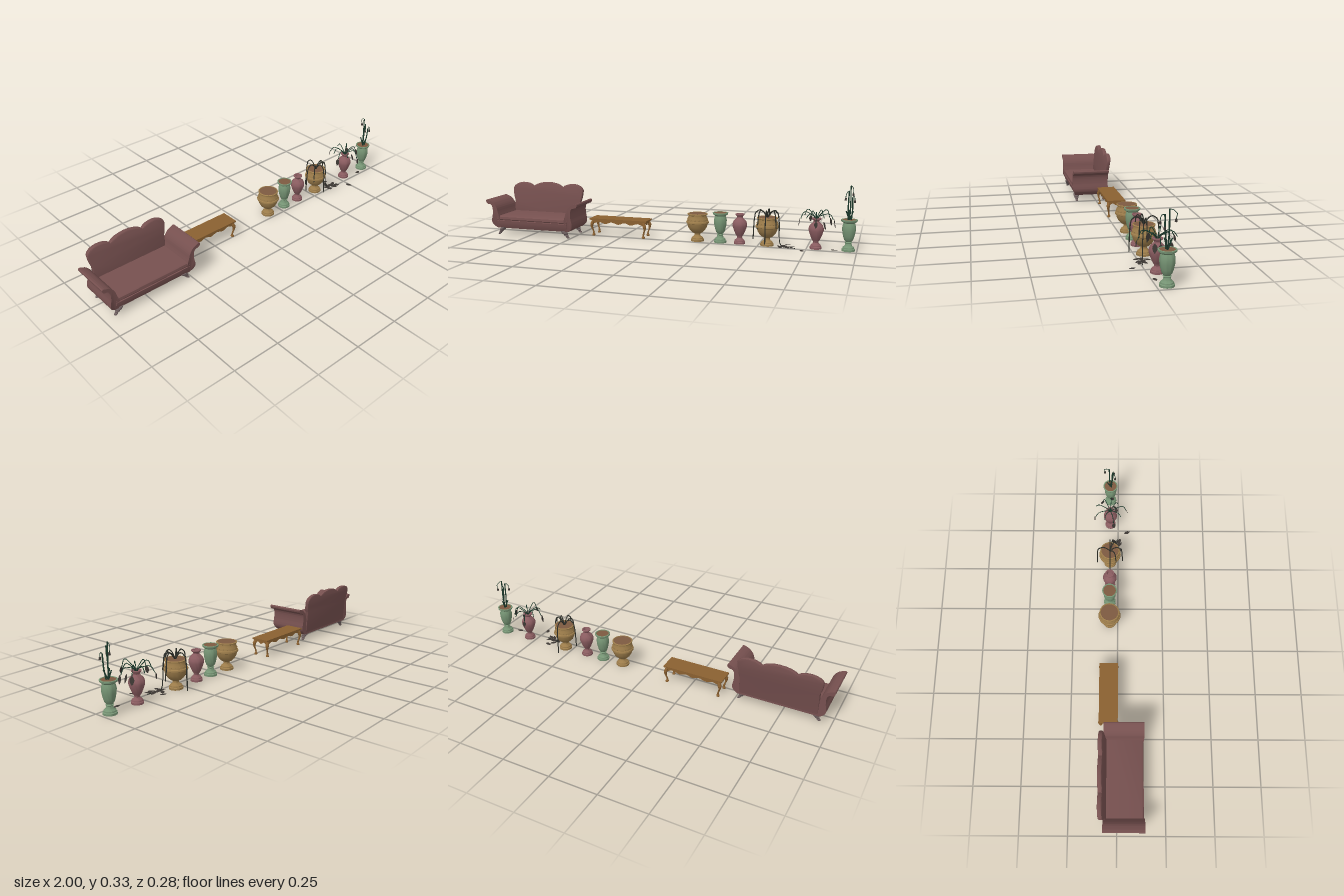
import * as THREE from 'three';
import { toCreasedNormals } from 'three/addons/utils/BufferGeometryUtils.js';

const mat = (color) => new THREE.MeshStandardMaterial({ color, side: THREE.DoubleSide });
const M = {
  cloth: mat(0x76504f), foot: mat(0x6e5f5f), wood: mat(0x8a6030), tan: mat(0x9c7c4a),
  green: mat(0x769474), pink: mat(0x8a5c60), soil: mat(0x7d5a40), stem: mat(0x1c3a2c),
  dry: mat(0x2e302a), leaf: mat(0x3c3733),
};
const V = (x, y, z) => new THREE.Vector3(x, y, z);
const pts = (a) => a.map(([x, y]) => new THREE.Vector2(x, y));

function add(parent, name, geo, material, x = 0, y = 0, z = 0) {
  const m = new THREE.Mesh(geo, material);
  m.name = name;
  m.position.set(x, y, z);
  parent.add(m);
  return m;
}
// move every vertex by a rule
function warp(geo, rule) {
  const p = geo.attributes.position, v = V(0, 0, 0);
  for (let i = 0; i < p.count; i++) {
    v.fromBufferAttribute(p, i);
    rule(v);
    p.setXYZ(i, v.x, v.y, v.z);
  }
  geo.computeVertexNormals();
  return geo;
}
const lathe = (profile, n = 24) => toCreasedNormals(new THREE.LatheGeometry(pts(profile), n), 0.7);
const extrude = (shape, depth, bevel = 0, steps = 1) => new THREE.ExtrudeGeometry(shape, {
  depth, steps, curveSegments: 8, bevelEnabled: bevel > 0, bevelSize: bevel, bevelThickness: bevel, bevelSegments: 2,
});

function sofa() {
  const g = new THREE.Group();
  g.name = 'sofa';
  // seat body: side profile run across the width
  const side = new THREE.Shape(pts([[-0.07, 0.037], [0.122, 0.037], [0.137, 0.07], [0.137, 0.08],
    [0.132, 0.082], [0.136, 0.088], [0.134, 0.101], [0.125, 0.107], [-0.06, 0.107], [-0.07, 0.1]]));
  const body = extrude(side, 0.42);
  body.rotateY(-Math.PI / 2).translate(0.21, 0, 0);
  // profile x became z after the turn
  add(g, 'seat', toCreasedNormals(body, 0.6), M.cloth);

  // three-humped leaning back
  const s = new THREE.Shape();
  s.moveTo(-0.2, 0.05);
  s.lineTo(-0.2, 0.17);
  s.quadraticCurveTo(-0.213, 0.2, -0.213, 0.235);
  s.bezierCurveTo(-0.205, 0.268, -0.125, 0.278, -0.09, 0.243);
  s.bezierCurveTo(-0.055, 0.28, 0.055, 0.28, 0.09, 0.243);
  s.bezierCurveTo(0.125, 0.278, 0.205, 0.268, 0.213, 0.235);
  s.quadraticCurveTo(0.213, 0.2, 0.2, 0.17);
  s.lineTo(0.2, 0.05);
  const back = warp(extrude(s, 0.012, 0.005), (v) => { v.z += -0.066 - Math.max(0, v.y - 0.1) * 0.15; });
  add(g, 'backrest', toCreasedNormals(back, 0.7), M.cloth);

  // flared arms with rolled tops
  const arm = new THREE.Shape();
  arm.moveTo(0.195, 0.037);
  arm.lineTo(0.215, 0.037);
  arm.splineThru(pts([[0.236, 0.055], [0.243, 0.078], [0.236, 0.115], [0.236, 0.15], [0.246, 0.168],
    [0.266, 0.173], [0.275, 0.185], [0.271, 0.195], [0.257, 0.192], [0.233, 0.18], [0.213, 0.155], [0.204, 0.125], [0.195, 0.1]]));
  for (const sx of [-1, 1]) {
    const geo = warp(extrude(arm, 0.21), (v) => {
      v.z -= 0.07;
      if (v.z > 0.1 && v.y < 0.075) v.z -= (0.075 - v.y) * 0.4;
    });
    const m = add(g, 'arm', toCreasedNormals(geo, 0.6), M.cloth);
    m.scale.x = sx;
    // turned feet, splayed outward
    for (const z of [0.115, -0.05]) {
      const foot = lathe([[0, 0], [0.006, 0], [0.009, 0.006], [0.007, 0.011], [0.012, 0.016],
        [0.011, 0.021], [0.016, 0.028], [0.016, 0.042], [0, 0.042]], 14);
      warp(foot, (v) => { v.x += sx * (0.212 - v.y * 0.75); });
      add(g, 'foot', foot, M.foot, 0, 0, z);
    }
  }
  g.position.x = -0.725;
  return g;
}

function table() {
  const g = new THREE.Group();
  g.name = 'table';
  add(g, 'tableTop', new THREE.BoxGeometry(0.33, 0.007, 0.1), M.wood, 0, 0.093, 0);
  add(g, 'topMoulding', new THREE.BoxGeometry(0.322, 0.004, 0.092), M.wood, 0, 0.0875, 0);
  // scalloped aprons
  const apron = (len, waves) => {
    const s = new THREE.Shape();
    s.moveTo(len / 2, 0.086);
    s.lineTo(-len / 2, 0.086);
    for (let i = 0; i <= 40; i++) {
      const t = i / 40;
      s.lineTo((t - 0.5) * len, 0.073 - 0.005 * Math.cos(t * waves * 2 * Math.PI));
    }
    return extrude(s, 0.004).translate(0, 0, -0.002);
  };
  for (const k of [-1, 1]) {
    add(g, 'longApron', apron(0.3, 4), M.wood, 0, 0, k * 0.042);
    add(g, 'endApron', apron(0.08, 2), M.wood, k * 0.152, 0, 0).rotation.y = Math.PI / 2;
    // cabriole legs
    for (const kz of [-1, 1]) {
      const leg = lathe([[0, 0], [0.008, 0], [0.009, 0.005], [0.006, 0.01], [0.004, 0.016], [0.0055, 0.02],
        [0.004, 0.025], [0.005, 0.04], [0.007, 0.052], [0.01, 0.065], [0.009, 0.078], [0.007, 0.087]], 12);
      warp(leg, (v) => {
        const o = 0.005 * Math.sin((v.y / 0.087) * Math.PI * 2 - 2.4);
        v.x += k * (o + 0.15);
        v.z += kz * (o * 0.5 + 0.042);
      });
      add(g, 'leg', leg, M.wood);
    }
  }
  g.position.set(-0.27, 0, -0.047);
  return g;
}

// vase profiles, foot to rim
const foot = (r) => [[0, 0], [r, 0], [r, 0.01], [r * 0.88, 0.013], [r * 0.85, 0.019], [r * 0.55, 0.027]];
const PROFILES = {
  tan: [...foot(0.035), [0.015, 0.034], [0.016, 0.042], [0.027, 0.047], [0.041, 0.06], [0.051, 0.078], [0.056, 0.096],
    [0.06, 0.098], [0.061, 0.103], [0.059, 0.108], [0.055, 0.11], [0.053, 0.125], [0.046, 0.136], [0.046, 0.139],
    [0.053, 0.142], [0.054, 0.148], [0.048, 0.15], [0.046, 0.144]],
  green: [...foot(0.033), [0.015, 0.04], [0.019, 0.044], [0.015, 0.048], [0.022, 0.056], [0.028, 0.075], [0.033, 0.1],
    [0.034, 0.12], [0.031, 0.134], [0.028, 0.143], [0.032, 0.146], [0.04, 0.152], [0.041, 0.16], [0.035, 0.161], [0.033, 0.155]],
  pink: [...foot(0.03), [0.013, 0.033], [0.014, 0.039], [0.02, 0.047], [0.03, 0.07], [0.038, 0.095], [0.038, 0.108],
    [0.032, 0.123], [0.02, 0.134], [0.015, 0.141], [0.016, 0.147], [0.024, 0.154], [0.024, 0.159], [0.017, 0.16], [0.012, 0.145], [0, 0.145]],
};
const SOIL = { tan: [0.047, 0.147], green: [0.035, 0.158] };

function vase(kind, x) {
  const g = new THREE.Group();
  g.name = kind + 'Vase';
  add(g, 'vaseBody', lathe(PROFILES[kind], 28), M[kind]);
  if (SOIL[kind]) {
    const [r, y] = SOIL[kind];
    add(g, 'soil', new THREE.CylinderGeometry(r, r, 0.002, 24), M.soil, 0, y, 0);
  }
  if (kind === 'tan') for (let i = 0; i < 16; i++) { // studs round the shoulder
    const a = (i / 16) * Math.PI * 2;
    add(g, 'stud', new THREE.SphereGeometry(0.003, 6, 4), M.tan, Math.cos(a) * 0.054, 0.118, Math.sin(a) * 0.054);
  }
  g.position.set(x, 0, -0.045);
  return g;
}

function stem(g, path, r, material = M.stem) {
  const c = new THREE.CatmullRomCurve3(path.map((p) => V(...p)), false, 'catmullrom', 0.2);
  add(g, 'stem', new THREE.TubeGeometry(c, path.length * 4, r, 5), material);
}
// cupped pointed leaf growing along +x
function leaf(g, x, y, z, len, turn, droop = 0) {
  const s = new THREE.Shape();
  s.moveTo(0, 0);
  s.quadraticCurveTo(len * 0.4, len * 0.5, len, 0);
  s.quadraticCurveTo(len * 0.4, -len * 0.5, 0, 0);
  const geo = new THREE.ShapeGeometry(s, 6).rotateX(-Math.PI / 2);
  warp(geo, (v) => { v.y += Math.abs(v.z) * 0.3 + ((v.x / len - 0.5) ** 2) * len * 0.3; });
  const m = add(g, 'leaf', geo, M.leaf, x, y, z);
  m.rotation.set(0, turn, -droop, 'YXZ');
}

export function createModel() {
  const root = new THREE.Group();
  root.add(sofa(), table());
  const row = [['tan', 0.17], ['green', 0.295], ['pink', 0.4], ['tan', 0.545], ['pink', 0.795], ['green', 0.957]];
  const vases = row.map(([k, x]) => vase(k, x));
  root.add(...vases);

  // trailing plant: [angle, reach, lowest point]
  const trail = vases[3];
  for (const [a, r, low] of [[0, 0.062, 0.08], [0.6, 0.06, 0.1], [1.57, 0.068, 0.02], [2.5, 0.055, 0.09], [3.14, 0.07, 0.03], [4.71, 0.072, 0.005]]) {
    const c = Math.cos(a), s = Math.sin(a);
    stem(trail, [[0, 0.145, 0], [c * 0.02, 0.177, s * 0.02], [c * 0.04, 0.188, s * 0.04], [c * r * 0.9, 0.17, s * r * 0.9],
      [c * r, 0.12, s * r], [c * (r + 0.003), low, s * (r + 0.003)]], 0.003, M.dry);
  }
  stem(trail, [[0, 0.145, 0], [0.03, 0.187, 0.01], [0.058, 0.17, 0.015], [0.064, 0.1, 0.02], [0.068, 0.03, 0.022],
    [0.08, 0.005, 0.025], [0.11, 0.004, 0.035], [0.15, 0.003, 0.04]], 0.0025, M.dry);
  for (const [x, z, t] of [[0.075, 0.02, 0.9], [0.08, 0.03, 0.2], [0.1, 0.035, -0.9], [0.11, 0.035, 0.5], [0.07, 0.03, -1.3], [0.09, 0.04, 2.6]])
    leaf(trail, x, 0.003, z, 0.042, t);

  // spreading plant with drooping tips
  const spread = vases[4];
  [0.085, 0.06, 0.09, 0.075, 0.08, 0.07, 0.09, 0.085, 0.075].forEach((r, i) => {
    const a = i * 0.7 + 0.1, c = Math.cos(a), s = Math.sin(a), top = 0.185 + (i % 3) * 0.007;
    stem(spread, [[0, 0.145, 0], [c * 0.015, 0.17, s * 0.015], [c * r * 0.65, top, s * r * 0.65],
      [c * r * 0.85, top - 0.006, s * r * 0.85], [c * r, 0.155 + (i % 2) * 0.012, s * r]], 0.002);
    if (i % 2 === 0) leaf(spread, c * r, 0.157, s * r, i % 4 ? 0.035 : 0.045, -a, 1.4);
  });
  leaf(spread, 0.035, 0.145, 0.02, 0.045, -0.3, 1.3);
  for (const [x, z, t] of [[-0.125, -0.015, 2.8], [-0.1, 0.06, 2.6], [-0.065, 0.08, -1.2], [0.075, 0.035, 0.1]])
    leaf(spread, x, 0.003, z, 0.038, t);

  // tall plant with nodding buds: each path ends at its bud
  const tall = vases[5];
  const stalks = [
    [[0, 0.15, -0.003], [0.003, 0.24, -0.005], [0, 0.33, -0.006], [0.006, 0.326, -0.022], [0.012, 0.312, -0.035], [0.012, 0.29, -0.03]],
    [[-0.005, 0.15, 0.005], [-0.008, 0.23, 0.008], [-0.006, 0.307, 0.012], [-0.014, 0.302, 0.022], [-0.02, 0.288, 0.027], [-0.021, 0.274, 0.027]],
    [[0.008, 0.15, 0.003], [0.013, 0.21, 0.012], [0.012, 0.275, 0.018], [0.018, 0.283, 0.02], [0.023, 0.273, 0.02], [0.023, 0.262, 0.02]],
  ];
  for (const path of stalks) {
    stem(tall, path.slice(0, 3), 0.0035);
    stem(tall, path.slice(2), 0.0016);
    const [x, y, z] = path[5];
    add(tall, 'bud', lathe([[0.002, -0.014], [0.006, -0.012], [0.005, -0.006], [0.006, -0.003], [0, 0.003]], 6), M.leaf, x, y, z);
  }
  for (const a of [0.5, 2.6, 4.6]) // short blades at the base
    stem(tall, [[0, 0.155, 0], [Math.cos(a) * 0.01, 0.18, Math.sin(a) * 0.01], [Math.cos(a) * 0.02, 0.205, Math.sin(a) * 0.02]], 0.003);
  return root;
}
